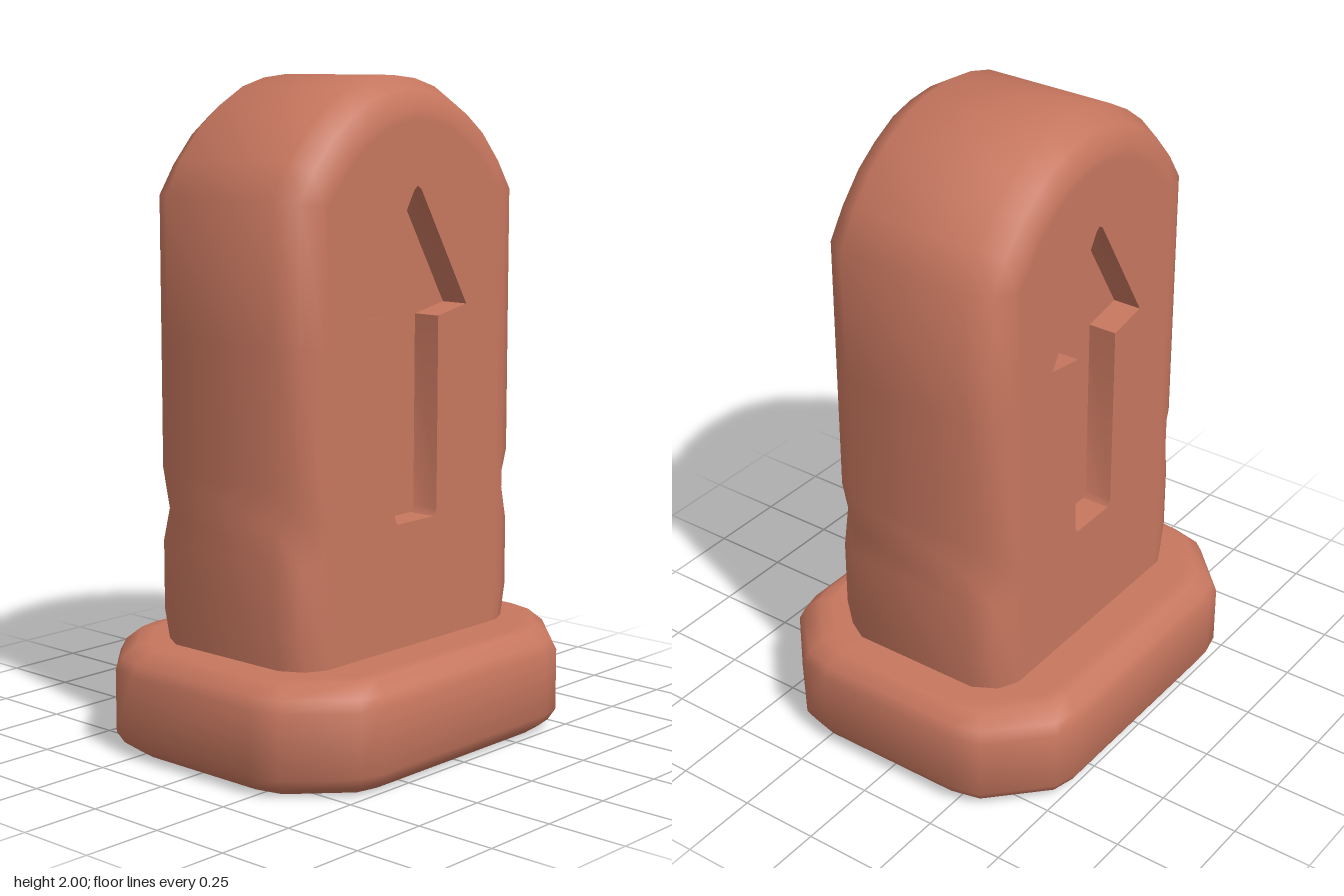
import * as THREE from 'three';
import { mergeGeometries, toCreasedNormals } from 'three/addons/utils/BufferGeometryUtils.js';

const clay = new THREE.MeshStandardMaterial({ color: 0xc6765e });
clay.name = 'terracotta';

// Skin closed rings of [x, y, z], ordered front to back, counterclockwise from +z
function loft(rings) {
  const pos = [];
  for (let i = 0; i < rings.length - 1; i++) {
    const A = rings[i], B = rings[i + 1], n = A.length;
    for (let j = 0; j < n; j++) {
      const k = (j + 1) % n;
      pos.push(...A[j], ...B[j], ...A[k], ...A[k], ...B[j], ...B[k]);
    }
  }
  const g = new THREE.BufferGeometry();
  g.setAttribute('position', new THREE.Float32BufferAttribute(pos, 3));
  return g;
}

// Flat face at depth z, with an optional hole
function cap(points, z, hole) {
  const v = (list) => list.map((p) => new THREE.Vector2(p[0], p[1]));
  const shape = new THREE.Shape(v(points));
  if (hole) shape.holes.push(new THREE.Path(v(hole)));
  const g = new THREE.ShapeGeometry(shape).toNonIndexed();
  g.deleteAttribute('uv');
  g.deleteAttribute('normal');
  return g.translate(0, 0, z);
}

function finish(parts, name) {
  const mesh = new THREE.Mesh(toCreasedNormals(mergeGeometries(parts), 0.9), clay);
  mesh.name = name;
  return mesh;
}

// Upright slab outline, right half from the foot to the crown
const half = [
  [0.485, 0.28], [0.487, 0.33], [0.505, 0.42], [0.505, 0.63], [0.505, 0.74], [0.505, 0.85],
  [0.505, 1.25], [0.505, 1.66], [0.44, 1.765], [0.36, 1.855], [0.28, 1.915], [0.19, 1.965], [0.1, 1.99],
];
const outline = [...half, [0, 2], ...half.map(([x, y]) => [-x, y]).reverse()];

// Slab ring moved inward along the outline normal, with a worn dip on the corners
function slabRing(inset, z, dip = 0) {
  const n = outline.length;
  return outline.map(([x, y], i) => {
    let nx = Math.sign(x), ny = 0;
    if (y > 1.5) {
      const a = outline[i - 1], b = outline[Math.min(i + 1, n - 1)];
      const dx = b[0] - a[0], dy = b[1] - a[1], l = Math.hypot(dx, dy);
      nx = dy / l;
      ny = -dx / l;
    }
    const d = inset + (y === 0.74 ? dip : 0);
    return [x - nx * d, y - ny * d, z];
  });
}

// Arrow outline, counterclockwise
const arrow = [
  [-0.085, 0.7], [0.08, 0.7], [0.093, 0.72], [0.095, 1.3], [0.225, 1.325],
  [0.015, 1.675], [0, 1.685], [-0.015, 1.675], [-0.225, 1.32], [-0.095, 1.3], [-0.095, 0.72],
];

function createSlab() {
  const front = 0.31, floor = 0.22;
  const profile = [[0.13, 0.31, 0], [0.1, 0.31, 0], [0.04, 0.28, 0.035], [0, 0.21, 0]];
  const rings = [
    ...profile.map(([d, z, dip]) => slabRing(d, z, dip)),
    ...profile.map(([d, z, dip]) => slabRing(d, -z, dip)).reverse(),
  ];
  const parts = [loft(rings)];
  // Both broad faces carry a recessed arrow
  for (const turn of [0, Math.PI]) {
    const inward = [...arrow].reverse();
    const walls = loft([front, floor].map((z) => inward.map(([x, y]) => [x, y, z])));
    const face = cap(rings[0], front, arrow);
    for (const g of [walls, face, cap(arrow, floor)]) parts.push(g.rotateY(turn));
  }
  return finish(parts, 'arrowSlab');
}

function createPlinth() {
  // One plan corner, mirrored round the four quadrants
  const corner = [[0.64, 0.24], [0.617, 0.335], [0.45, 0.497], [0.375, 0.515]];
  const flip = (sx, sy) => corner.map(([x, y]) => [x * sx, y * sy]);
  const plan = [
    ...flip(1, 1), ...flip(-1, 1).reverse(), ...flip(-1, -1), ...flip(1, -1).reverse(),
  ];
  // Chamfered height profile from top to bottom: inset, height
  const profile = [[0.09, 0.325], [0.055, 0.322], [0.015, 0.285], [0, 0.25], [0, 0.06], [0.02, 0.025], [0.055, 0]];
  const rings = profile.map(([d, h]) =>
    plan.map(([x, y]) => [x * (1 - d / 0.64), y * (1 - d / 0.515), h]));
  const parts = [
    loft(rings),
    cap(rings[0], 0.325),
    cap(rings[rings.length - 1], 0).rotateY(Math.PI),
  ];
  parts.forEach((g) => g.rotateX(-Math.PI / 2));
  return finish(parts, 'plinth');
}

export function createModel() {
  const group = new THREE.Group();
  group.name = 'arrowMarker';
  group.add(createPlinth(), createSlab());
  return group;
}
